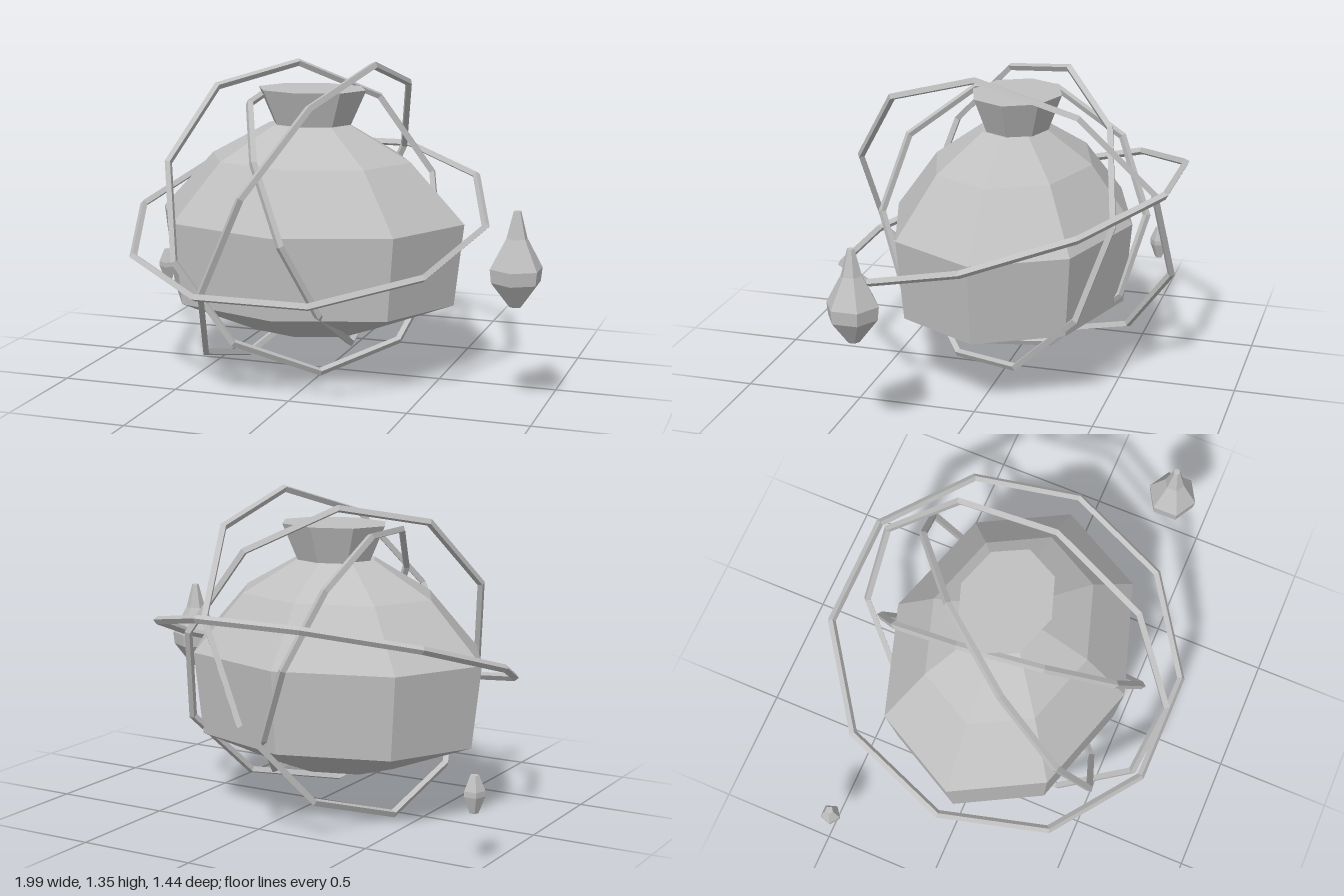
import * as THREE from 'three';

const stone = new THREE.MeshStandardMaterial({ color: 0xc0c0c0 });
stone.name = 'pale grey stone';

// Split the faces so every facet keeps its own flat normal
function facetedMesh(name, geometry) {
  const flat = geometry.toNonIndexed();
  flat.computeVertexNormals();
  const mesh = new THREE.Mesh(flat, stone);
  mesh.name = name;
  return mesh;
}

// Turned part from [radius, height] pairs, listed bottom to top
function turned(name, profile, sides, depth = 1) {
  const points = profile.map(([r, y]) => new THREE.Vector2(r, y));
  const geometry = new THREE.LatheGeometry(points, sides);
  geometry.scale(1, 1, depth);
  return facetedMesh(name, geometry);
}

// Ten-sided hoop with a diamond section, lying across `normal`, with one corner towards `corner`
function hoop(name, radius, normal, corner) {
  const tube = 0.017;
  const z = new THREE.Vector3(...normal).normalize();
  const x = new THREE.Vector3(...corner);
  x.addScaledVector(z, -x.dot(z)).normalize();
  const y = new THREE.Vector3().crossVectors(z, x);
  const geometry = new THREE.TorusGeometry(radius - tube, tube, 4, 10);
  geometry.applyMatrix4(new THREE.Matrix4().makeBasis(x, y, z));
  const mesh = facetedMesh(name, geometry);
  mesh.position.set(-0.084, 0.687, 0);
  return mesh;
}

export function createModel() {
  const model = new THREE.Group();
  model.name = 'ringedPot';

  // Squat eight-sided pot, wider than deep
  const body = turned('potBody', [
    [0, 0.2], [0.275, 0.2], [0.637, 0.338], [0.678, 0.687],
    [0.445, 0.935], [0.18, 1.08], [0, 1.08],
  ], 8, 0.77);
  body.position.set(-0.08, 0, -0.004);
  model.add(body);

  // Flared neck, closed on top
  const neck = turned('potNeck', [[0, 1.07], [0.17, 1.075], [0.24, 1.228], [0, 1.228]], 8, 0.81);
  neck.position.set(-0.076, 0, -0.02);
  model.add(neck);

  // Four hoops crossing around the pot
  model.add(
    hoop('levelHoop', 0.79, [0, 1, 0.31], [1, 0, 0]),
    hoop('tallHoop', 0.748, [0.886, -0.435, 0.166], [0.32, 0.68, 0.074]),
    hoop('slantedHoop', 0.69, [0.708, 0.347, 0.616], [-0.126, 0.647, -0.22]),
    hoop('innerHoop', 0.592, [0.917, 0.385, -0.11], [0.075, -0.02, 0.575]),
  );

  // Floating drops
  const largeDrop = turned('largeDrop', [
    [0, 0.447], [0.025, 0.45], [0.102, 0.55], [0.108, 0.605], [0.043, 0.725], [0.015, 0.833], [0, 0.834],
  ], 6);
  largeDrop.position.set(0.9, 0, 0.363);
  const smallDrop = turned('smallDrop', [
    [0, 0.226], [0.018, 0.226], [0.043, 0.293], [0.043, 0.315], [0.018, 0.375], [0, 0.375],
  ], 5);
  smallDrop.position.set(-0.958, 0, -0.478);
  model.add(largeDrop, smallDrop);

  return model;
}
